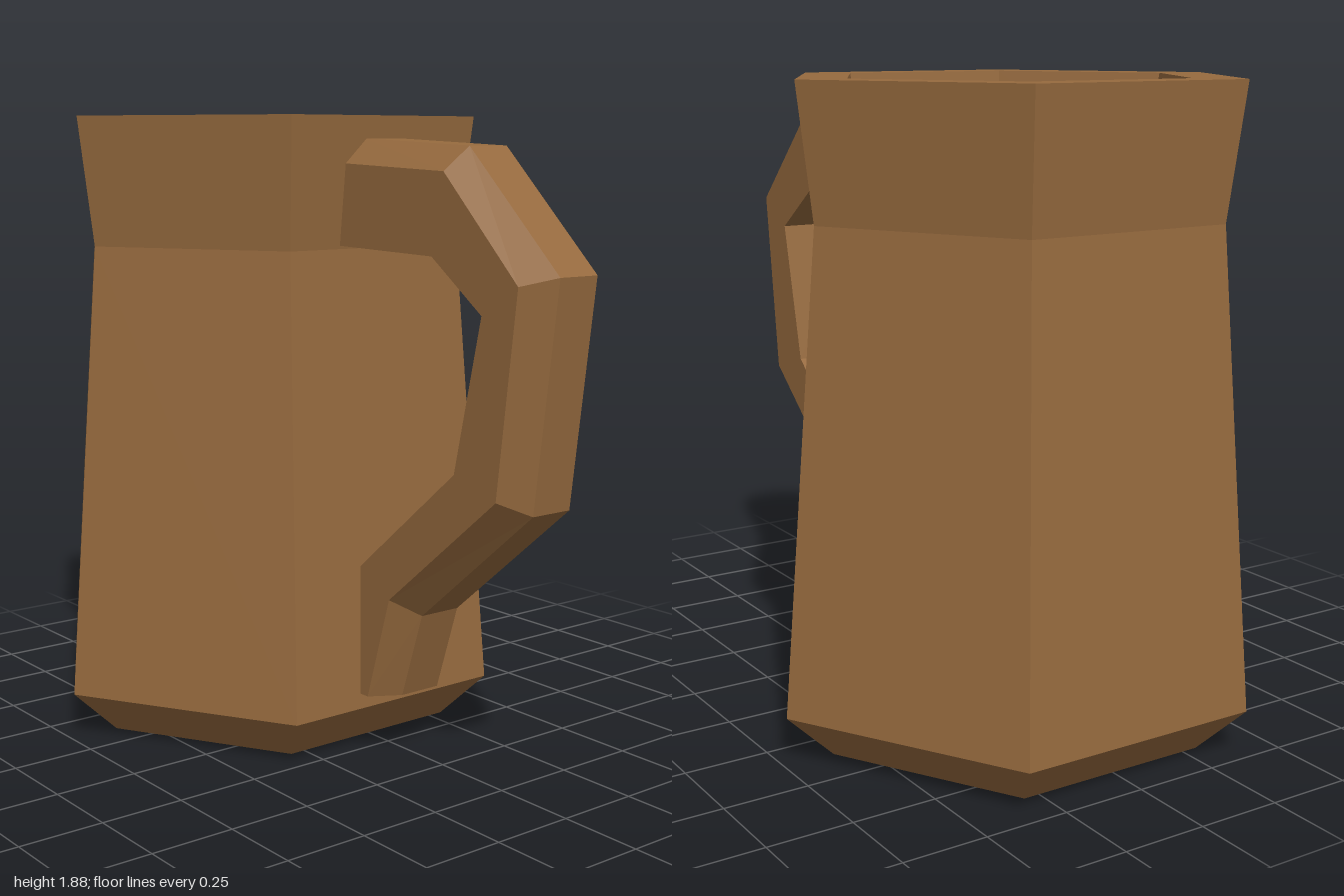
import * as THREE from 'three';

const wood = new THREE.MeshStandardMaterial({ color: 0x966a3e, flatShading: true });

// Six-sided cup: outer wall, rim and hollow in one turned profile
function makeCup() {
  const profile = [
    [0, 0], [0.595, 0], [0.74, 0.14], [0.63, 1.5], [0.68, 1.88],
    [0.525, 1.88], [0.455, 1.5], [0.55, 0.15], [0, 0.15],
  ].map(([r, y]) => new THREE.Vector2(r, y));
  const cup = new THREE.Mesh(new THREE.LatheGeometry(profile, 6).toNonIndexed(), wood);
  cup.geometry.computeVertexNormals();
  cup.position.x = -0.36;
  cup.name = 'cup';
  return cup;
}

// Handle: bevelled cross-sections joined along its bends
function makeHandle() {
  const wide = 0.138, narrow = 0.068;
  // Each station: inner edge, bevel edge and outer edge as x, y
  const stations = [
    [0.175, 1.51, 0.2, 1.745, 0.21, 1.815],
    [0.585, 1.5, 0.63, 1.728, 0.655, 1.795],
    [0.785, 1.355, 0.92, 1.44, 1.0, 1.465],
    [0.685, 0.915, 0.85, 0.865, 0.92, 0.83],
    [0.285, 0.58, 0.415, 0.505, 0.48, 0.46],
    [0.285, 0.19, 0.32, 0.19, 0.395, 0.2],
  ];
  const positions = [], index = [];
  for (const [ix, iy, bx, by, ox, oy] of stations) {
    positions.push(
      ix, iy, -wide, ix, iy, wide, bx, by, wide,
      ox, oy, narrow, ox, oy, -narrow, bx, by, -wide,
    );
  }
  const n = 6, last = (stations.length - 1) * n;
  for (let i = 0; i < last; i += n) {
    for (let j = 0; j < n; j++) {
      const a = i + j, b = i + (j + 1) % n;
      index.push(a, a + n, b, b, a + n, b + n);
    }
  }
  // End caps
  for (let j = 1; j < n - 1; j++) {
    index.push(0, j, j + 1, last, last + j + 1, last + j);
  }
  const indexed = new THREE.BufferGeometry();
  indexed.setAttribute('position', new THREE.Float32BufferAttribute(positions, 3));
  indexed.setIndex(index);
  const geometry = indexed.toNonIndexed();
  geometry.computeVertexNormals();
  const handle = new THREE.Mesh(geometry, wood);
  handle.name = 'handle';
  return handle;
}

export function createModel() {
  const mug = new THREE.Group();
  mug.name = 'mug';
  mug.add(makeCup(), makeHandle());
  return mug;
}
